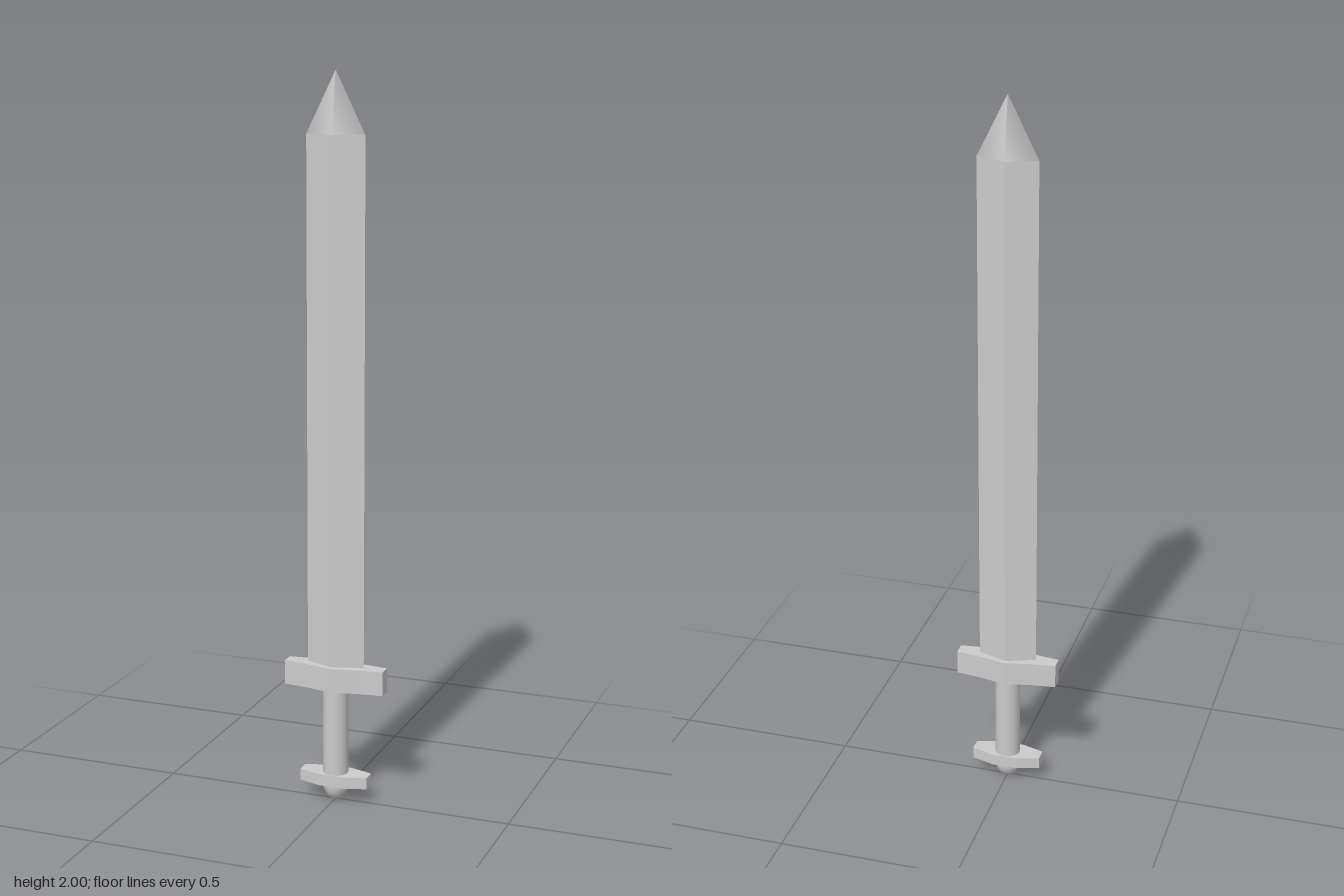
import * as THREE from 'three';

export function createModel() {
  const model = new THREE.Group();
  const smooth = new THREE.MeshStandardMaterial({ color: 0xcccccc });
  const flat = new THREE.MeshStandardMaterial({ color: 0xcccccc, flatShading: true });

  const add = (name, geometry, material) => {
    const mesh = new THREE.Mesh(geometry, material);
    mesh.name = name;
    model.add(mesh);
  };

  // Four-sided diamond section: wide in x, thin in z
  const diamond = (topScale, y0, y1, halfX, halfZ) =>
    new THREE.CylinderGeometry(topScale, 1, y1 - y0, 4, 1)
      .scale(halfX, 1, halfZ)
      .translate(0, (y0 + y1) / 2, 0);

  // Crossbar from one quarter of its plan outline, mirrored in x and z
  const bar = (quarter, y0, y1) => {
    const back = quarter.slice().reverse();
    const outline = [
      ...quarter,
      ...back.map(([x, z]) => [x, -z]),
      ...quarter.map(([x, z]) => [-x, -z]),
      ...back.map(([x, z]) => [-x, z]),
    ].filter(([x, z], i, a) => {
      const [px, pz] = a[(i + a.length - 1) % a.length];
      return Math.hypot(x - px, z - pz) > 1e-6;
    });
    const shape = new THREE.Shape(outline.map(([x, z]) => new THREE.Vector2(x, z)));
    return new THREE.ExtrudeGeometry(shape, { depth: y1 - y0, bevelEnabled: false })
      .rotateX(-Math.PI / 2)
      .translate(0, y0, 0);
  };

  // Blade and tapered tip
  add('blade', diamond(1, 0.39, 1.835, 0.082, 0.03), flat);
  add('bladeTip', diamond(0, 1.835, 2, 0.082, 0.03), smooth);

  // Main guard, ridged at the centre and narrowing to blunt ends
  add('guard', bar([[0, 0.042], [0.075, 0.026], [0.143, 0.018]], 0.325, 0.393), flat);

  // Round grip
  add('grip', new THREE.CylinderGeometry(0.035, 0.035, 0.25, 16).translate(0, 0.2025, 0), smooth);

  // Small lower guard with a flat middle
  add('lowerGuard', bar([[0.035, 0.037], [0.098, 0.018]], 0.047, 0.08), flat);

  // Domed pommel
  const dome = [[0, 0], [0.012, 0.003], [0.023, 0.011], [0.031, 0.024], [0.035, 0.038], [0.035, 0.05]];
  add('pommel', new THREE.LatheGeometry(dome.map(([r, y]) => new THREE.Vector2(r, y)), 16), smooth);

  return model;
}
